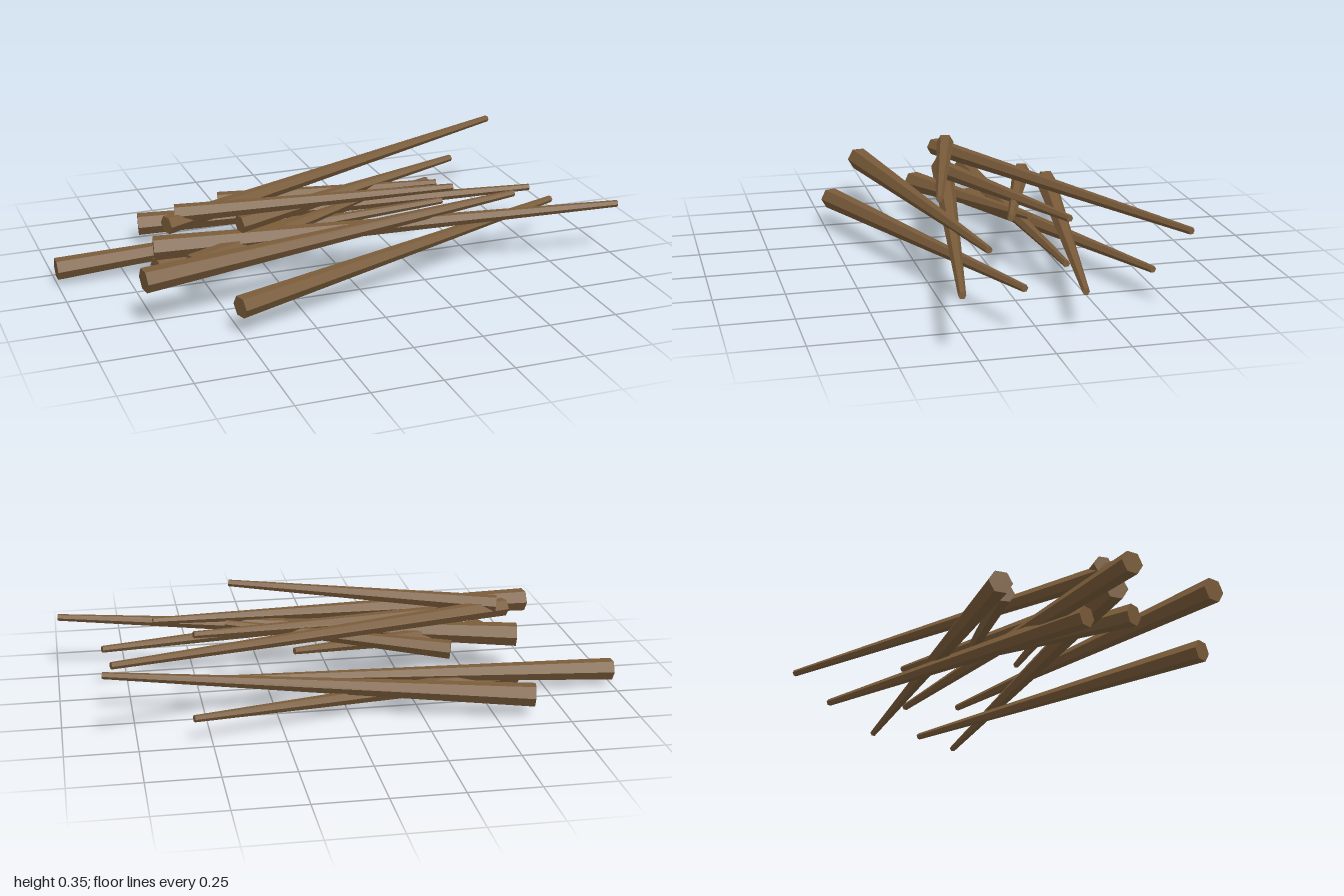
import * as THREE from 'three';

// Each stick: thick end x, z; thin end x, z; thick radius. Listed from the bottom of the pile up.
const STICKS = [
  [-0.65, -0.11, 0.56, -0.47, 0.038],
  [-1.0, -0.17, 0.5, -0.18, 0.04],
  [-0.635, -0.43, 0.85, -0.14, 0.042],
  [-0.51, 0.47, 0.84, 0.06, 0.04],
  [-0.58, 0.13, 0.17, -0.14, 0.04],
  [-0.68, -0.01, 0.99, 0.3, 0.044],
  [-0.795, 0.31, 0.65, 0.13, 0.044],
  [-0.37, -0.255, 0.4, -0.01, 0.034],
  [-0.38, 0.05, 0.53, -0.18, 0.034],
  [-0.64, 0.03, 0.83, -0.5, 0.034],
  [-0.6, -0.005, 0.36, 0.23, 0.034],
];
const BASE_Y = 0.038; // height of the lowest thick end
const STEP_Y = 0.0243; // each stick lies a little higher
const RISE = 0.06; // thin end sits above the thick end

export function createModel() {
  const group = new THREE.Group();
  group.name = 'stickPile';
  const wood = new THREE.MeshStandardMaterial({ color: 0x7a5c3a, flatShading: true });

  STICKS.forEach(([x0, z0, x1, z1, radius], i) => {
    const y = BASE_Y + i * STEP_Y;
    const thick = new THREE.Vector3(x0, y, z0);
    const thin = new THREE.Vector3(x1, y + RISE, z1);

    // Tapered hexagonal rod along +z, with a flat side up
    const geometry = new THREE.CylinderGeometry(0.0125, radius, thick.distanceTo(thin), 6);
    geometry.rotateY(Math.PI / 6).rotateX(Math.PI / 2);

    const stick = new THREE.Mesh(geometry, wood);
    stick.name = `stick${i + 1}`;
    stick.position.copy(thick).lerp(thin, 0.5);
    stick.lookAt(thin);
    group.add(stick);
  });
  return group;
}
